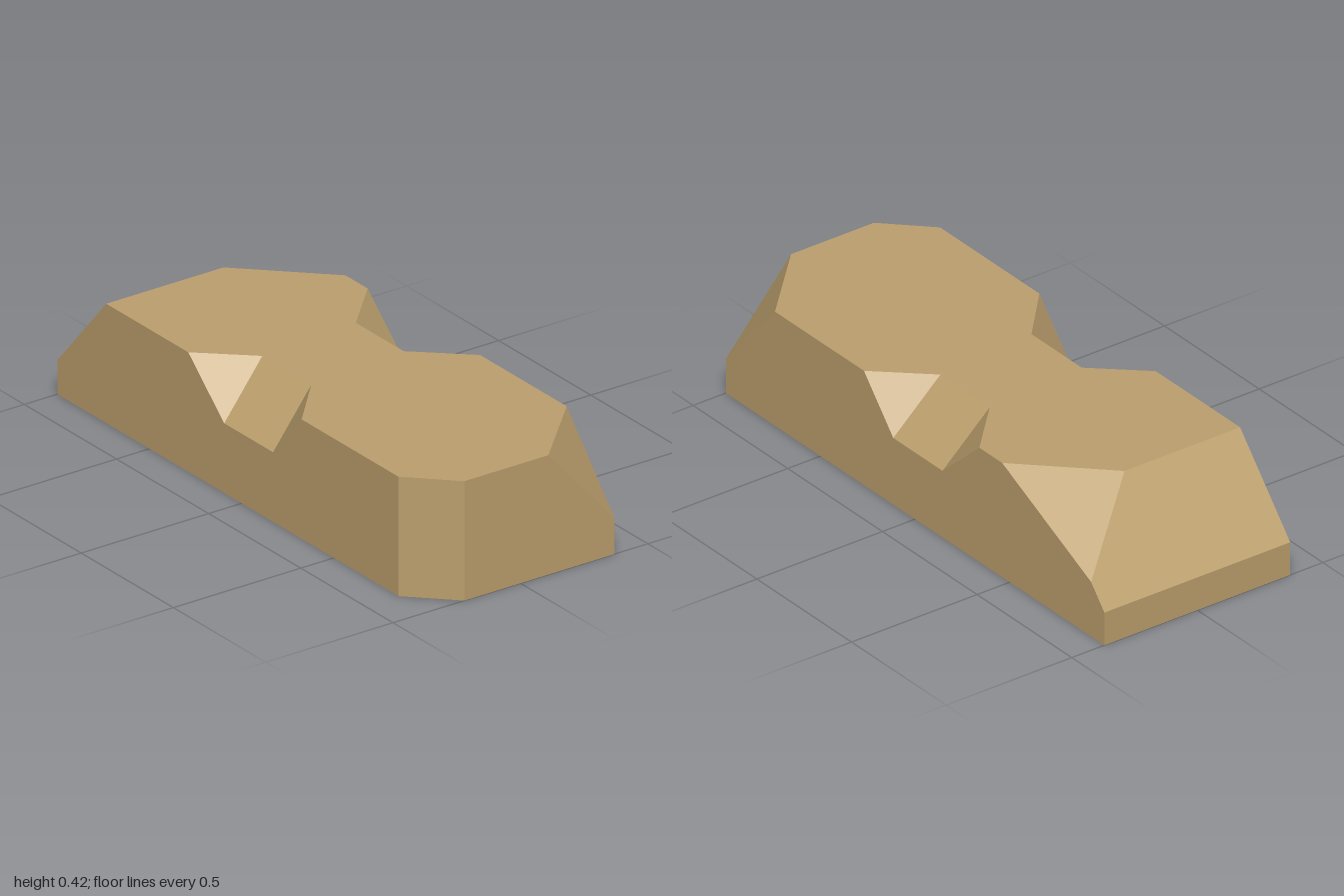
import * as THREE from 'three';

const W = 0.37, H = 0.42, L = 1;
const CENTRE = new THREE.Vector3(0, 0.1, 0);

// Builds one mesh from flat polygons; each triangle is turned to face away from the core.
function facets(name, material, polygons) {
  const positions = [];
  for (const poly of polygons) {
    const p = poly.map((c) => new THREE.Vector3(...c));
    const n = new THREE.Triangle(p[0], p[1], p[2]).getNormal(new THREE.Vector3()).toArray().map(Math.abs);
    const drop = n.indexOf(Math.max(...n));
    const flat = poly.map((c) => new THREE.Vector2(c[(drop + 1) % 3], c[(drop + 2) % 3]));
    for (const tri of THREE.ShapeUtils.triangulateShape(flat, [])) {
      const [a, b, c] = tri.map((i) => p[i]);
      const normal = b.clone().sub(a).cross(c.clone().sub(a));
      const outward = normal.dot(a.clone().sub(CENTRE)) > 0;
      for (const v of outward ? [a, b, c] : [a, c, b]) positions.push(v.x, v.y, v.z);
    }
  }
  const geometry = new THREE.BufferGeometry();
  geometry.setAttribute('position', new THREE.Float32BufferAttribute(positions, 3));
  geometry.computeVertexNormals();
  const mesh = new THREE.Mesh(geometry, material);
  mesh.name = name;
  return mesh;
}

// Corner points of a wedge cut into a top edge, ordered from back to front.
function notch(edgeX, innerX, floorY, edge, floor, inner) {
  return {
    edge: edge.map((z) => [edgeX, H, z]),
    floor: floor.map((z) => [edgeX, floorY, z]),
    inner: inner.map((z) => [innerX, H, z]),
  };
}

function notchFaces({ edge, floor, inner }) {
  return [
    [edge[0], floor[0], inner[0]],
    [floor[0], floor[1], inner[1], inner[0]],
    [edge[1], floor[1], inner[1]],
  ];
}

export function createModel() {
  const group = new THREE.Group();
  group.name = 'chippedBlock';
  const stone = new THREE.MeshStandardMaterial({ color: 0xbc9f6d });
  stone.name = 'sandstone';

  const left = notch(W, 0.19, 0.245, [-0.34, 0.27], [-0.145, 0.115], [-0.155, 0.105]);
  const right = notch(-W, -0.195, 0.245, [-0.29, 0.325], [-0.095, 0.17], [-0.13, 0.135]);

  // Front: upright bevel on one corner, chipped top on the other
  const bevelSide = [-W, 0, 0.85], bevelSideTop = [-W, H, 0.85];
  const bevelFront = [-0.22, 0, L], bevelFrontTop = [-0.22, H, L];
  const frontCorner = [W, 0, L], chipLow = [W, 0.125, L];
  const chipFront = [0.11, H, L], chipSide = [W, H, 0.74];

  // Back: sloped end with one corner chipped away
  const backL = [W, 0, -L], backR = [-W, 0, -L];
  const slopeLowL = [W, 0.12, -L], slopeLowR = [-W, 0.12, -L];
  const slopeTopR = [-W, H, -0.735], backChipIn = [0.09, H, -0.735];
  const backChipSide = [W, H, -0.46], backChipLow = [W, 0.2, -0.93];

  group.add(
    facets('topFace', stone, [[
      bevelFrontTop, chipFront, chipSide,
      left.edge[1], left.inner[1], left.inner[0], left.edge[0],
      backChipSide, backChipIn, slopeTopR,
      right.edge[0], right.inner[0], right.inner[1], right.edge[1], bevelSideTop,
    ]]),
    facets('leftSide', stone, [[
      frontCorner, backL, slopeLowL, backChipLow, backChipSide,
      left.edge[0], left.floor[0], left.floor[1], left.edge[1], chipSide, chipLow,
    ]]),
    facets('rightSide', stone, [[
      bevelSide, backR, slopeLowR, slopeTopR,
      right.edge[0], right.floor[0], right.floor[1], right.edge[1], bevelSideTop,
    ]]),
    facets('frontFace', stone, [[bevelFront, frontCorner, chipLow, chipFront, bevelFrontTop]]),
    facets('backFace', stone, [[backL, backR, slopeLowR, slopeLowL]]),
    facets('underside', stone, [[bevelSide, bevelFront, frontCorner, backL, backR]]),
    facets('frontBevel', stone, [[bevelSide, bevelFront, bevelFrontTop, bevelSideTop]]),
    facets('frontCornerChip', stone, [[chipFront, chipSide, chipLow]]),
    facets('backSlope', stone, [[slopeLowR, slopeLowL, backChipLow, backChipIn, slopeTopR]]),
    facets('backCornerChip', stone, [[backChipIn, backChipSide, backChipLow]]),
    facets('leftNotch', stone, notchFaces(left)),
    facets('rightNotch', stone, notchFaces(right)),
  );
  return group;
}
